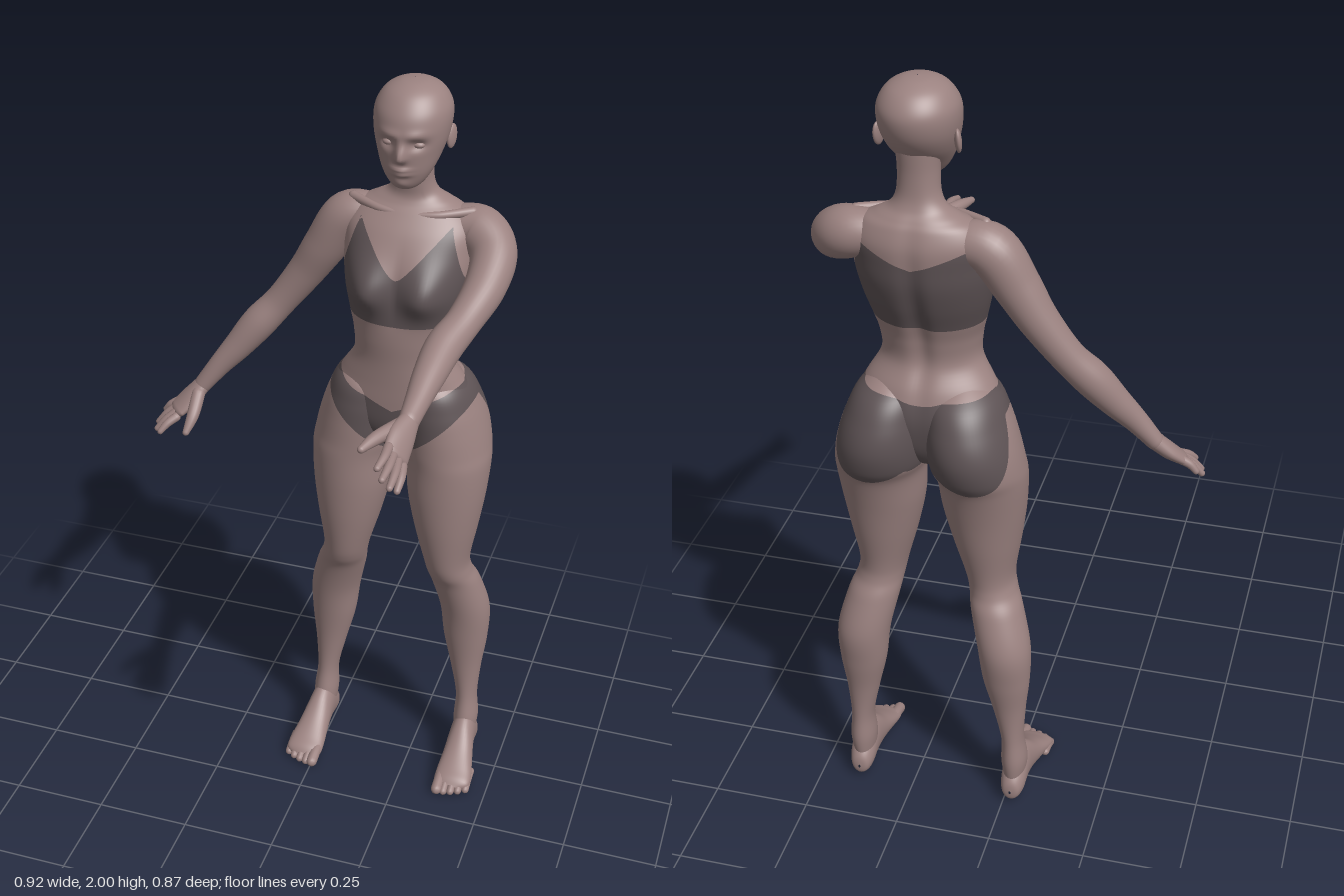
import * as THREE from 'three';

const C = 0.187; // x of the body's centre plane
const V = (a) => new THREE.Vector3(a[0], a[1], a[2]);
const bump = (d, s) => Math.exp(-(d * d) / (s * s));

// Smooth interpolation through rows of numbers
function sample(rows, t) {
  const f = t * (rows.length - 1), i = Math.min(Math.floor(f), rows.length - 2), u = f - i;
  const at = (k) => rows[Math.max(0, Math.min(rows.length - 1, k))];
  const [a, b, c, d] = [at(i - 1), at(i), at(i + 1), at(i + 2)];
  return b.map((_, k) => b[k] + 0.5 * u * (c[k] - a[k]
    + u * (2 * a[k] - 5 * b[k] + 4 * c[k] - d[k] + u * (3 * (b[k] - c[k]) + d[k] - a[k]))));
}

// Closed rings of points joined into a smooth skin
function skinRings(n, m, point) {
  const pos = [], index = [];
  for (let i = 0; i <= n; i++)
    for (let j = 0; j < m; j++) pos.push(...point(i, (j / m) * Math.PI * 2));
  for (let i = 0; i < n; i++)
    for (let j = 0; j < m; j++) {
      const a = i * m + j, b = i * m + (j + 1) % m;
      index.push(a, a + m, b, b, a + m, b + m);
    }
  const g = new THREE.BufferGeometry();
  g.setAttribute('position', new THREE.Float32BufferAttribute(pos, 3));
  g.setIndex(index);
  g.computeVertexNormals();
  return g;
}

// Upright loft; each row is [y, xMin, xMax, zFront, zBack]
function loft(rows, n, m, warp = (x, y, z) => [x, y, z]) {
  const sorted = [...rows].sort((a, b) => a[0] - b[0]);
  return skinRings(n, m, (i, a) => {
    const [y, x0, x1, zf, zb] = sample(sorted, i / n);
    return warp((x0 + x1) / 2 + Math.cos(a) * (x1 - x0) / 2, y, (zf + zb) / 2 + Math.sin(a) * (zf - zb) / 2);
  });
}

// Round-ended limb; each row is [x, y, z, width, thickness]
function limb(rows, ref = [0, 1, 0.3], n = 24, m = 20) {
  const full = rows.map((r) => [r[0], r[1], r[2], r[3], r[4] ?? r[3]]);
  const caps = 4;
  return skinRings(n + 2 * caps, m, (i, a) => {
    const k = i - caps, t = Math.min(1, Math.max(0, k / n));
    const over = k < 0 ? k : Math.max(0, k - n);
    const ang = (over / caps) * Math.PI / 2;
    const s = sample(full, t);
    const T = V(sample(full, Math.min(1, t + 0.01))).sub(V(sample(full, Math.max(0, t - 0.01)))).normalize();
    const N = V(ref).cross(T).normalize(), B = N.clone().cross(T);
    return V(s).addScaledVector(T, Math.sin(ang) * Math.min(s[3], s[4]))
      .addScaledVector(N, Math.cos(a) * Math.cos(ang) * s[3])
      .addScaledVector(B, Math.sin(a) * Math.cos(ang) * s[4]).toArray();
  });
}

// Cuts a surface cleanly where f = 0: group 0 is outside, group 1 inside
function paint(geometry, f) {
  const g = geometry.toNonIndexed(), P = g.attributes.position, Q = g.attributes.normal;
  const out = [[], []];
  for (let i = 0; i < P.count; i += 3) {
    const tri = [0, 1, 2].map((k) => {
      const p = new THREE.Vector3().fromBufferAttribute(P, i + k);
      return { p, q: new THREE.Vector3().fromBufferAttribute(Q, i + k), f: f(p.x, p.y, p.z) };
    });
    [-1, 1].forEach((sign, side) => {
      const poly = [];
      tri.forEach((a, k) => {
        const b = tri[(k + 1) % 3];
        if (a.f * sign >= 0) poly.push(a);
        if (a.f * b.f < 0) {
          const u = a.f / (a.f - b.f);
          poly.push({ p: a.p.clone().lerp(b.p, u), q: a.q.clone().lerp(b.q, u) });
        }
      });
      for (let k = 1; k + 1 < poly.length; k++) out[side].push(poly[0], poly[k], poly[k + 1]);
    });
  }
  const all = [...out[0], ...out[1]], r = new THREE.BufferGeometry();
  r.setAttribute('position', new THREE.Float32BufferAttribute(all.flatMap((v) => v.p.toArray()), 3));
  r.setAttribute('normal', new THREE.Float32BufferAttribute(all.flatMap((v) => v.q.toArray()), 3));
  r.addGroup(0, out[0].length, 0);
  r.addGroup(out[0].length, out[1].length, 1);
  return r;
}

// Clothing outlines, positive inside
function briefs(x, y, z) {
  const d = Math.abs(x - C);
  const low = Math.min(1.03 + Math.max(0, d - 0.03) * 0.95, z < -0.3 ? 1.185 + (z + 0.3) * 1.65 : 9);
  const top = z > -0.27 ? Math.min(1.235, 1.165 + d * 0.42) : 1.235 - 0.02 * bump(d, 0.06);
  return Math.min(y - low, top - y);
}
function bra(x, y, z) {
  const d = Math.abs(x - C);
  const top = z > -0.28 ? Math.min(1.52 + 1.15 * Math.hypot(d, 0.01), 1.655, 1.65 - (d - 0.115) * 3.2)
    : Math.min(1.58 + 0.4 * d, 1.63 - (d - 0.125) * 3);
  return Math.min(y - 1.41, top - y);
}

export function createModel() {
  const skin = new THREE.MeshStandardMaterial({ color: 0x9b8280 });
  skin.name = 'skin';
  const cloth = new THREE.MeshStandardMaterial({ color: 0x5e5355 });
  cloth.name = 'cloth';
  const model = new THREE.Group();
  model.name = 'figure';
  const add = (name, geometry, material = skin) => {
    const mesh = new THREE.Mesh(geometry, material);
    mesh.name = name;
    model.add(mesh);
    return mesh;
  };
  const centred = (rows) => rows.map(([y, w, f, b]) => [y, C - w, C + w, f, b]);

  // Torso and neck
  const torso = loft(centred([
    [1.01, 0.01, -0.25, -0.28], [1.03, 0.05, -0.21, -0.33], [1.07, 0.1, -0.18, -0.36], [1.12, 0.17, -0.166, -0.375],
    [1.18, 0.186, -0.162, -0.38], [1.24, 0.156, -0.16, -0.365], [1.3, 0.122, -0.157, -0.335],
    [1.36, 0.124, -0.152, -0.34], [1.41, 0.136, -0.152, -0.355], [1.47, 0.15, -0.158, -0.378],
    [1.53, 0.16, -0.165, -0.395], [1.58, 0.163, -0.18, -0.4], [1.63, 0.162, -0.205, -0.4],
    [1.67, 0.135, -0.237, -0.388], [1.69, 0.1, -0.255, -0.375], [1.71, 0.066, -0.263, -0.36],
    [1.74, 0.051, -0.26, -0.35], [1.79, 0.048, -0.252, -0.347], [1.84, 0.05, -0.25, -0.35],
  ]), 110, 96, (x, y, z) => {
    const d = Math.abs(x - C);
    if (z > -0.27) z += 0.046 * bump(d - 0.078, 0.058) * bump(y - 1.495, y < 1.495 ? 0.055 : 0.075);
    else z += 0.014 * bump(d, 0.025) * bump(y - 1.42, 0.22);
    return [x, y, z];
  });
  add('torso', paint(torso, (x, y, z) => (y > 1.33 ? bra(x, y, z) : briefs(x, y, z))), [skin, cloth]);

  // Head with nose, brow, lips and eye sockets
  add('head', loft(centred([
    [1.752, 0.002, -0.22, -0.225], [1.755, 0.024, -0.2, -0.25], [1.77, 0.044, -0.189, -0.275], [1.8, 0.063, -0.18, -0.305],
    [1.84, 0.079, -0.175, -0.348], [1.88, 0.09, -0.171, -0.376], [1.92, 0.0935, -0.174, -0.387],
    [1.95, 0.087, -0.187, -0.381], [1.978, 0.067, -0.212, -0.358], [1.995, 0.035, -0.247, -0.322],
    [2, 0.001, -0.284, -0.286],
  ]), 90, 96, (x, y, z) => {
    const d = Math.abs(x - C);
    if (z > -0.25) z += 0.024 * bump(d, 0.013) * bump(y - 1.843, y > 1.843 ? 0.03 : 0.012)
      - 0.013 * bump(d - 0.036, 0.02) * bump(y - 1.873, 0.014) + 0.006 * bump(y - 1.897, 0.012) * bump(d - 0.03, 0.03)
      + 0.009 * bump(d, 0.022) * (bump(y - 1.811, 0.006) + bump(y - 1.799, 0.006)) + 0.005 * bump(d, 0.02) * bump(y - 1.772, 0.012);
    return [x, y, z];
  }));
  for (const s of [-1, 1]) {
    const eye = add(s < 0 ? 'rightEye' : 'leftEye', new THREE.SphereGeometry(0.014, 20, 14));
    eye.position.set(C + s * 0.036, 1.872, -0.199);
    eye.scale.set(1.1, 0.65, 1);
    const ear = add(s < 0 ? 'rightEar' : 'leftEar', new THREE.SphereGeometry(0.03, 20, 14));
    ear.position.set(C + s * 0.09, 1.862, -0.297);
    ear.scale.set(0.28, 1, 0.6);
    ear.rotation.set(-0.2, -s * 0.35, 0);
    add('collarbone', limb([[C + s * 0.025, 1.668, -0.25, 0.01], [C + s * 0.08, 1.672, -0.26, 0.01], [C + s * 0.15, 1.675, -0.3, 0.012]]));
  }

  // Legs and feet, written for the right and mirrored for the left
  const legRows = [
    [1.27, 0.08, 0.13, -0.24, -0.3], [1.22, 0.018, 0.176, -0.178, -0.382], [1.16, -0.012, 0.186, -0.163, -0.42],
    [1.1, -0.032, 0.187, -0.16, -0.435], [1.04, -0.045, 0.183, -0.16, -0.425], [0.99, -0.05, 0.17, -0.16, -0.4],
    [0.9, -0.044, 0.162, -0.162, -0.375], [0.8, -0.03, 0.14, -0.17, -0.355], [0.7, -0.014, 0.112, -0.186, -0.336],
    [0.65, -0.02, 0.101, -0.2, -0.338], [0.6, -0.04, 0.092, -0.224, -0.36], [0.5, -0.065, 0.07, -0.25, -0.385],
    [0.4, -0.064, 0.057, -0.265, -0.376], [0.3, -0.053, 0.033, -0.275, -0.36], [0.2, -0.047, 0.012, -0.276, -0.354],
    [0.12, -0.054, 0.013, -0.262, -0.358], [0.05, -0.045, 0.005, -0.255, -0.35],
  ];
  const footRows = [
    [-0.366, -0.024, -0.018, -0.035, -0.045], [-0.36, -0.042, 0, -0.014, -0.07], [-0.335, -0.053, 0.01, -0.006, -0.1],
    [-0.29, -0.056, 0.012, -0.008, -0.14], [-0.25, -0.06, 0.013, -0.01, -0.128], [-0.2, -0.07, 0.016, -0.008, -0.088],
    [-0.15, -0.08, 0.02, -0.003, -0.056], [-0.12, -0.077, 0.018, -0.003, -0.04], [-0.105, -0.05, 0, -0.01, -0.025],
  ];
  for (const side of ['right', 'left']) {
    const mx = (x) => (side === 'right' ? x : 2 * C - x);
    const place = (rows) => rows.map(([y, a, b, f, k]) => [y, Math.min(mx(a), mx(b)), Math.max(mx(a), mx(b)), f, k]);
    add(side + 'Leg', paint(loft(place(legRows), 110, 64), briefs), [skin, cloth]);
    add(side + 'Foot', loft(place(footRows), 40, 40).rotateX(Math.PI / 2));
    for (let k = 0; k < 5; k++) {
      const x = 0.004 - k * 0.019, r = k ? 0.0105 : 0.015, tip = -0.09 - k * k * 0.0017;
      add(side + 'Toe', limb([[mx(x), 0.028, tip - 0.06, r], [mx(x), 0.023, tip - 0.03, r], [mx(x), r, tip, r]], [0, 1, 0], 10, 14));
    }
  }

  // Arms with palm, four fingers and thumb
  const arm = (side, rows, normal, palm, knuckle, across, tips, thumb) => {
    add(side + 'Arm', limb(rows, normal, 60, 32));
    add(side + 'Palm', limb(palm, normal, 20, 28));
    tips.forEach((tip, k) => {
      const base = V(knuckle).addScaledVector(V(across), (k - 1.5) * 0.019);
      const mid = base.clone().lerp(V(tip), 0.5).addScaledVector(V(normal), side === 'left' ? 0.004 : -0.004);
      add(side + 'Finger', limb([[...base.toArray(), 0.012], [...mid.toArray(), 0.0105], [...tip, 0.008]], normal, 12, 14));
    });
    add(side + 'Thumb', limb(thumb, normal, 14, 16));
  };
  arm('left', [
    [0.29, 1.63, -0.315, 0.05], [0.355, 1.622, -0.312, 0.062], [0.4, 1.588, -0.265, 0.058], [0.402, 1.54, -0.18, 0.051],
    [0.378, 1.495, -0.08, 0.043], [0.352, 1.464, 0, 0.045], [0.342, 1.435, 0.09, 0.039], [0.337, 1.41, 0.17, 0.03],
    [0.335, 1.393, 0.23, 0.026, 0.022],
  ], [0.8, 0.6, 0], [[0.335, 1.392, 0.23, 0.026, 0.021], [0.331, 1.375, 0.28, 0.038, 0.02], [0.332, 1.357, 0.325, 0.039, 0.015]],
  [0.332, 1.356, 0.33], [0.55, -0.82, -0.1],
  [[0.312, 1.367, 0.407], [0.328, 1.35, 0.423], [0.345, 1.33, 0.42], [0.355, 1.307, 0.392]],
  [[0.32, 1.39, 0.25, 0.018], [0.284, 1.389, 0.32, 0.016], [0.264, 1.385, 0.37, 0.009]]);
  arm('right', [
    [0.085, 1.63, -0.315, 0.05], [0.02, 1.615, -0.312, 0.06], [-0.035, 1.53, -0.308, 0.055], [-0.085, 1.45, -0.308, 0.047],
    [-0.15, 1.36, -0.298, 0.041], [-0.205, 1.295, -0.278, 0.044], [-0.255, 1.23, -0.258, 0.037], [-0.3, 1.175, -0.24, 0.029],
    [-0.345, 1.115, -0.225, 0.026, 0.022],
  ], [0.48, -0.66, -0.35], [[-0.345, 1.115, -0.225, 0.026, 0.021], [-0.372, 1.083, -0.205, 0.038, 0.02], [-0.4, 1.055, -0.185, 0.039, 0.015]],
  [-0.403, 1.052, -0.183], [-0.25, 0.3, -0.92],
  [[-0.428, 1.013, -0.122], [-0.448, 1.003, -0.15], [-0.454, 1.008, -0.177], [-0.444, 1.032, -0.207]],
  [[-0.348, 1.1, -0.2, 0.018], [-0.347, 1.06, -0.153, 0.016], [-0.355, 1.025, -0.12, 0.009]]);
  return model;
}
